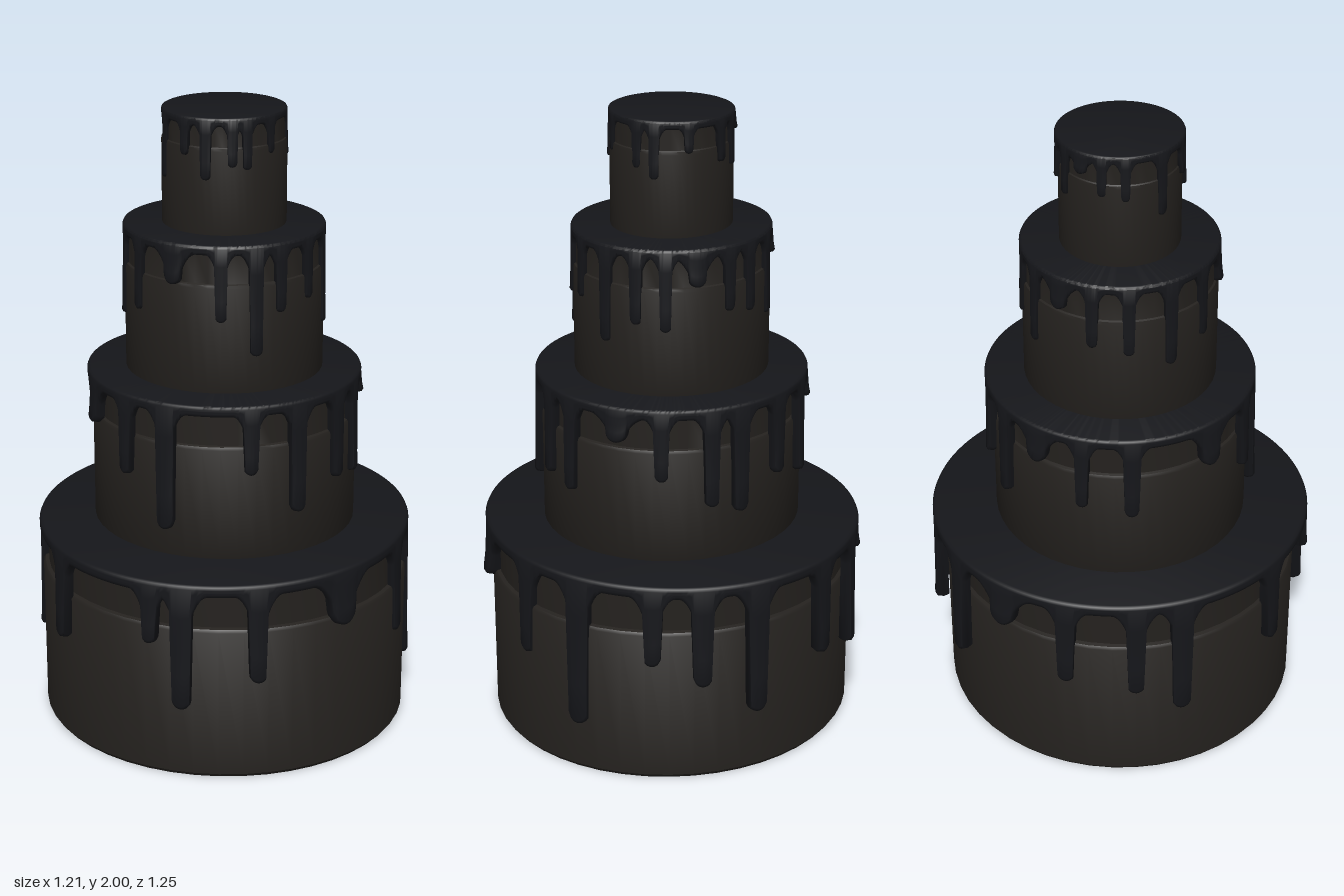
import * as THREE from 'three';
import { toCreasedNormals } from 'three/addons/utils/BufferGeometryUtils.js';

const cakeMat = new THREE.MeshStandardMaterial({ color: 0x24211e });
const icingMat = new THREE.MeshStandardMaterial({ color: 0x15161a });

// Rear drips follow one shared rhythm: lengths relative to the tier's longest drip
const rearLengths = [0.62, 0.75, 0.25, 0.58, 0.65];

// Works out a tier's drips as { angle, tip, w }; the map gives angle from the front in degrees: tip height
function makeTier(base, line, top, body, icing, tips) {
  const R = icing[0];
  const rim = top - R * 0.04 - 0.018;
  const longest = rim - Math.min(...Object.values(tips));
  const drip = (deg, length) => {
    // short drips are broad scallops, long ones swell with their length
    const w = (0.035 * R + 0.007) * (length < 0.33 ? 1.6 : 0.75 + 0.45 * length);
    return { angle: THREE.MathUtils.degToRad(deg), tip: rim - length * longest, w };
  };
  const drips = Object.entries(tips).map(([deg, tip]) => drip(Number(deg), (rim - tip) / longest));
  rearLengths.forEach((length, i) => drips.push(drip(186 + 21 * i, length)));
  return { base, line, top, body, icing, rim, drips, thick: 0.04 * R + 0.01 };
}

// Sponge: lower layer with a softened rim, and a slightly inset upper layer
function bodyGeometry({ base, line, top, body }) {
  const inset = 0.97;
  const profile = [[0, base], [0.985, base], [1, base + 0.012], [1, line - 0.012], [0.99, line - 0.003],
    [inset, line], [inset, top - 0.015], [0, top - 0.015]].map(([r, y]) => new THREE.Vector2(r, y));
  const g = new THREE.LatheGeometry(profile, 48);
  g.scale(body[0], 1, body[1]);
  return toCreasedNormals(g, 0.6);
}

// Lower edge of the icing at an angle, and how far it swells outwards there
function icingEdge(angle, { rim, drips, icing }) {
  let low = rim, swell = 0;
  for (const { angle: centre, tip, w } of drips) {
    const turn = Math.abs(angle - centre);
    const d = Math.min(turn, 2 * Math.PI - turn) * icing[0];
    const drop = rim - tip, flare = w * 1.6, web = Math.min(drop * 0.5, w * 2.2);
    if (d < w) {
      const round = Math.sqrt(1 - (d / w) ** 2);
      low = Math.min(low, tip + Math.min(w, drop * 0.4) * (1 - round));
      swell = Math.max(swell, w * 0.35 * round);
    } else if (d < w + flare) {
      low = Math.min(low, rim - web * (1 - (d - w) / flare) ** 2);
    }
  }
  return { low, swell };
}

// Icing: flat top, rounded shoulder, dripping skirt, and an inner wall
function icingGeometry(tier) {
  const { top, thick, icing } = tier;
  const columns = 480, positions = [], index = [];
  let rows = 0;
  for (let i = 0; i <= columns; i++) {
    const angle = ((i % columns) / columns) * 2 * Math.PI;
    const { low, swell } = icingEdge(angle, tier);
    const s = thick * 0.35, lip = thick * 0.5;
    // section as [offset from the outer radius, height]; null is the axis
    const section = [[null, top], [-s, top], [-s * 0.3, top - s * 0.3], [0, top - s]];
    for (const t of [0.25, 0.5, 0.75]) section.push([swell * t * 0.8, THREE.MathUtils.lerp(top - s, low + lip, t)]);
    section.push([swell, low + lip], [swell * 0.8 - thick * 0.1, low + lip * 0.35],
      [-thick * 0.5, low], [-thick, low + lip * 0.4], [-thick, top - thick]);
    rows = section.length;
    for (const [off, y] of section) {
      const [rx, rz] = icing.map((r) => (off === null ? 0 : r + off));
      positions.push(Math.sin(angle) * rx, y, Math.cos(angle) * rz);
    }
  }
  for (let i = 0; i < columns; i++) {
    for (let j = 0; j < rows - 1; j++) {
      const a = i * rows + j, b = a + 1, d = a + rows, c = d + 1;
      if (j > 0) index.push(a, b, d);
      index.push(b, c, d);
    }
  }
  const g = new THREE.BufferGeometry();
  g.setAttribute('position', new THREE.Float32BufferAttribute(positions, 3));
  g.setIndex(index);
  return toCreasedNormals(g, 0.9);
}

function addTier(cake, name, tier) {
  const group = new THREE.Group();
  group.name = name;
  const sponge = new THREE.Mesh(bodyGeometry(tier), cakeMat);
  sponge.name = 'sponge';
  const icing = new THREE.Mesh(icingGeometry(tier), icingMat);
  icing.name = 'drippingIcing';
  group.add(sponge, icing);
  cake.add(group);
}

export function createModel() {
  const cake = new THREE.Group();
  cake.name = 'tieredCake';
  addTier(cake, 'bottomTier', makeTier(0, 0.51, 0.67, [0.593, 0.573], [0.597, 0.615], {
    5: 0.25, 28: 0.34, 56: 0.48, 85: 0.34, 105: 0.16, 128: 0.4, 143: 0.33, 160: 0.22, 284: 0.24, 318: 0.36, 355: 0.46 }));
  addTier(cake, 'secondTier', makeTier(0.66, 1.04, 1.175, [0.42, 0.405], [0.435, 0.428], {
    28: 0.95, 49: 0.81, 72: 0.88, 88: 0.86, 112: 1.06, 131: 0.94, 152: 0.85, 165: 0.82, 306: 1.02, 332: 0.91, 352: 0.76 }));
  addTier(cake, 'thirdTier', makeTier(1.165, 1.52, 1.64, [0.312, 0.303], [0.316, 0.308], {
    15: 1.4, 35: 1.29, 50: 1.42, 72: 1.44, 95: 1.33, 115: 1.4, 132: 1.38, 150: 1.52, 170: 1.43, 295: 1.35, 320: 1.4, 347: 1.51 }));
  addTier(cake, 'topTier', makeTier(1.63, 1.91, 2, [0.194, 0.186], [0.192, 0.195], {
    0: 1.81, 25: 1.85, 39: 1.84, 65: 1.88, 101: 1.85, 118: 1.82, 150: 1.9, 305: 1.79, 338: 1.88 }));
  return cake;
}
